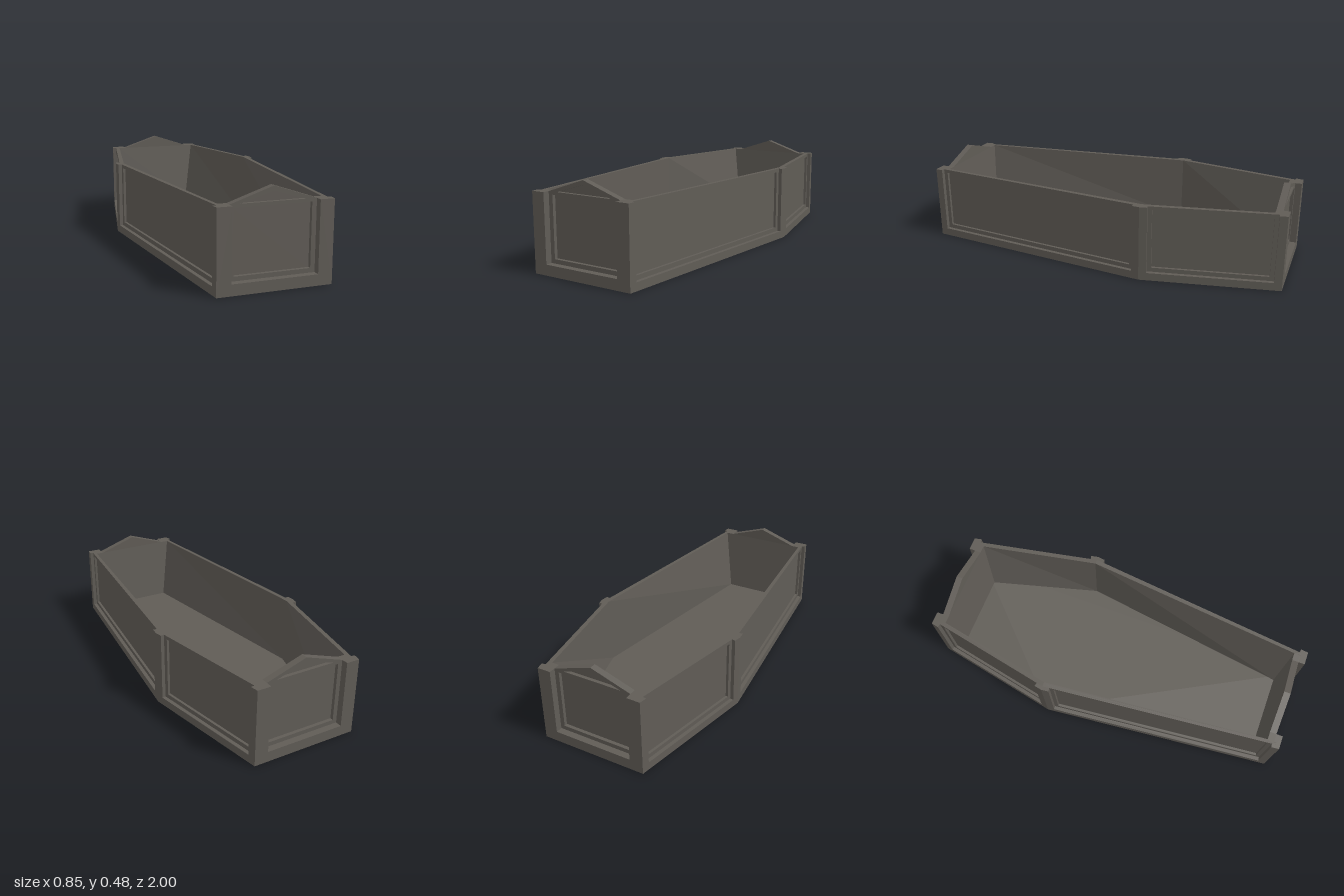
import * as THREE from 'three';

const H = 0.405;       // wall height
const BASE = 0.04;     // floor slab thickness

// plan outlines as [x, z] corners, all in the same order
const hexagon = (endX, endZ, midX) => [
  [endX, endZ], [-endX, endZ], [-midX, -0.285],
  [-endX, -endZ], [endX, -endZ], [midX, -0.285],
];
const OUTER = hexagon(0.285, 1, 0.425);
const RIM = hexagon(0.27, 0.965, 0.405);
const INNER_TOP = hexagon(0.255, 0.93, 0.38);
const INNER_FLOOR = hexagon(0.205, 0.905, 0.375);

const vecs = pts => pts.map(p => new THREE.Vector2(p[0], p[1]));
function shapeOf(pts, hole) {
  const shape = new THREE.Shape(vecs(pts));
  if (hole) shape.holes.push(new THREE.Path(vecs(hole)));
  return shape;
}

const rect = (u0, u1, y0, y1) => [[u0, y0], [u1, y0], [u1, y1], [u0, y1]];
const gable = (u0, u1, y0, y1, peak) =>
  [[u0, y0], [u1, y0], [u1, y1], [(u0 + u1) / 2, peak], [u0, y1]];
// plinth with a post at each end, open at the top
const postFrame = (len, u0, u1, y0) => [
  [0, 0], [len, 0], [len, H], [u1, H], [u1, y0], [u0, y0], [u0, H], [0, H],
];

export function createModel() {
  const model = new THREE.Group();
  model.name = 'openCoffin';
  const stone = new THREE.MeshStandardMaterial({ color: 0x605c56, side: THREE.DoubleSide });
  stone.name = 'darkStone';

  function add(parent, name, geometry) {
    const mesh = new THREE.Mesh(geometry, stone);
    mesh.name = name;
    parent.add(mesh);
  }

  // horizontal slab from a plan outline
  function slab(pts, hole, y0, y1) {
    const g = new THREE.ExtrudeGeometry(shapeOf(pts, hole), { depth: y1 - y0, bevelEnabled: false });
    return g.rotateX(Math.PI / 2).translate(0, y1, 0);
  }

  // upright layer between two depths behind the outer face
  function layer(pts, hole, d0, d1) {
    const g = new THREE.ExtrudeGeometry(shapeOf(pts, hole), { depth: d1 - d0, bevelEnabled: false });
    return g.translate(0, 0, d0);
  }

  add(model, 'base', slab(OUTER, null, 0, BASE));
  add(model, 'rim', slab(RIM, INNER_TOP, 0.39, H));

  // sloping inside faces
  const positions = [];
  for (let i = 0; i < 6; i++) {
    const j = (i + 1) % 6;
    const a = [INNER_TOP[i][0], H, INNER_TOP[i][1]];
    const b = [INNER_TOP[j][0], H, INNER_TOP[j][1]];
    const c = [INNER_FLOOR[j][0], BASE, INNER_FLOOR[j][1]];
    const d = [INNER_FLOOR[i][0], BASE, INNER_FLOOR[i][1]];
    positions.push(...a, ...b, ...c, ...a, ...c, ...d);
  }
  const lining = new THREE.BufferGeometry();
  lining.setAttribute('position', new THREE.Float32BufferAttribute(positions, 3));
  lining.computeVertexNormals();
  add(model, 'innerWalls', lining);

  // six outer walls, each with a double-stepped recessed panel
  const names = ['footEnd', 'rightLongSide', 'rightShortSide', 'headEnd', 'leftShortSide', 'leftLongSide'];
  for (let i = 0; i < 6; i++) {
    const [ax, az] = OUTER[i];
    const [bx, bz] = OUTER[(i + 1) % 6];
    const along = new THREE.Vector3(bx - ax, 0, bz - az);
    const len = along.length();
    along.normalize();
    const up = new THREE.Vector3(0, 1, 0);
    const inward = new THREE.Vector3().crossVectors(along, up);

    const wall = new THREE.Group();
    wall.name = names[i];
    if (i % 3 === 0) {
      // gabled end wall
      const u0 = len / 2 - 0.213, u1 = len / 2 + 0.213, s = 0.023;
      const outline = gable(u0, u1, 0.055, H, 0.476);
      const opening = gable(u0 + s, u1 - s, 0.077, 0.396, 0.454);
      add(wall, 'cornerPosts', layer(postFrame(len, u0, u1, 0.055), null, 0, 0.035));
      add(wall, 'gableFrame', layer(outline, opening, 0.035, 0.053));
      add(wall, 'gablePanel', layer(outline, null, 0.053, 0.07));
    } else {
      // straight side wall
      const u0 = 0.041, u1 = len - 0.041, s = 0.022;
      const outline = rect(0.02, len - 0.02, 0.02, H);
      const opening = rect(u0 + s, u1 - s, 0.065, 0.386);
      add(wall, 'cornerPosts', layer(postFrame(len, u0, u1, 0.042), null, 0, 0.02));
      add(wall, 'panelFrame', layer(outline, opening, 0.02, 0.034));
      add(wall, 'panel', layer(outline, null, 0.034, 0.037));
    }
    wall.applyMatrix4(new THREE.Matrix4().makeBasis(along, up, inward).setPosition(ax, 0, az));
    model.add(wall);
  }
  return model;
}
